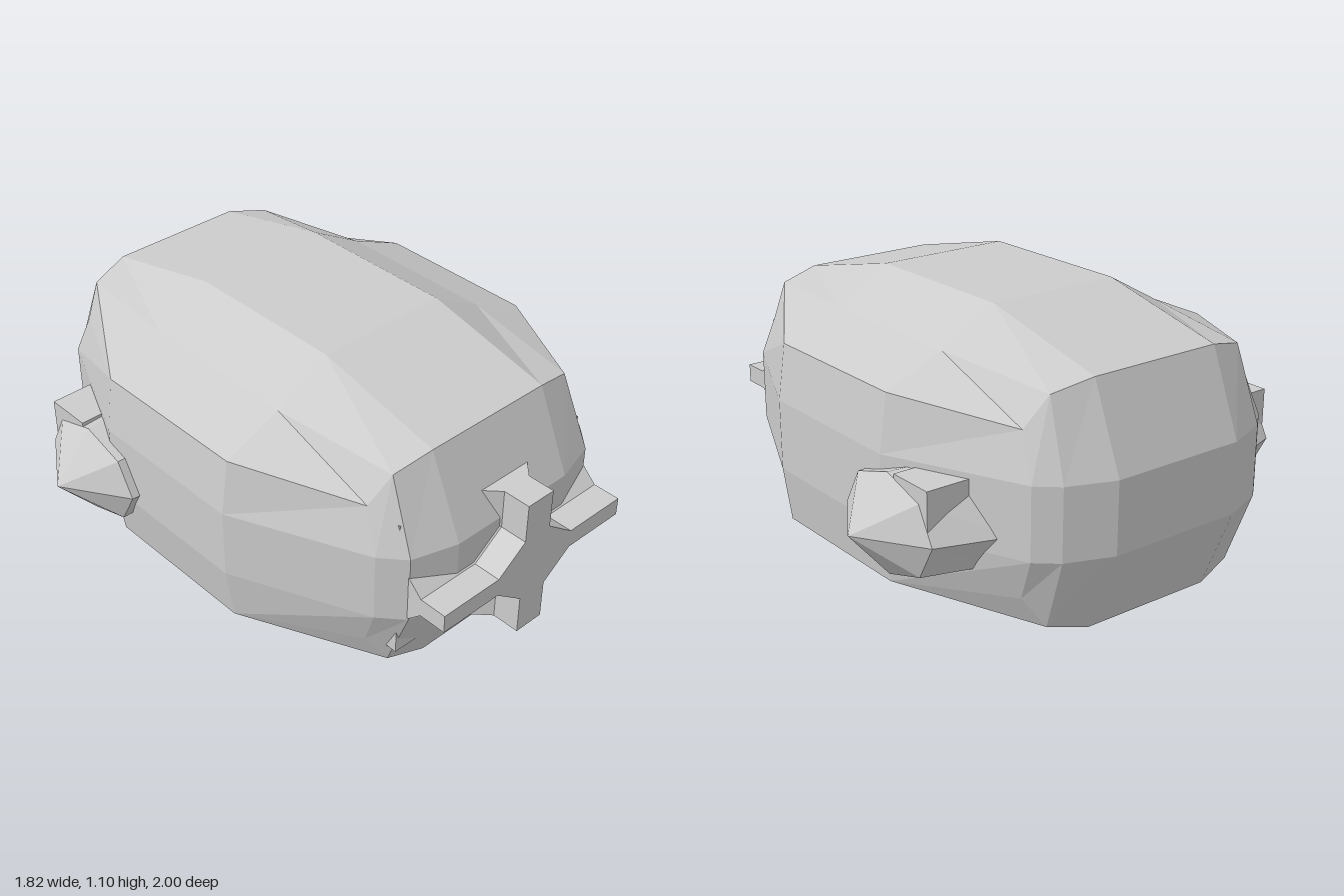
import * as THREE from 'three';

const grey = new THREE.MeshStandardMaterial({ color: 0xcccccc });
grey.name = 'plain grey';
grey.flatShading = true;

// Collects quads (corners counter-clockwise from outside) into a faceted geometry
function quadGeometry(quads) {
  const pos = quads.flatMap(([a, b, c, d]) => [a, b, c, a, c, d].flat());
  const g = new THREE.BufferGeometry();
  g.setAttribute('position', new THREE.Float32BufferAttribute(pos, 3));
  g.computeVertexNormals();
  return g;
}

// Walls between successive closed rings
function walls(rings) {
  const quads = [];
  for (let r = 0; r < rings.length - 1; r++) {
    const a = rings[r], b = rings[r + 1], n = a.length;
    for (let i = 0; i < n; i++) {
      const j = (i + 1) % n;
      quads.push([a[i], a[j], b[j], b[i]]);
    }
  }
  return quads;
}

const mirrorX = ([x, y, z]) => [-x, y, z];
const flipY = ([x, y, z]) => [x, 1.1 - y, z];
const fullRing = (half) => [...half, ...half.map(mirrorX).reverse()];

function mesh(name, geometry) {
  const m = new THREE.Mesh(geometry, grey);
  m.name = name;
  return m;
}

function bodyGeometry() {
  // left half of the rim and of the waist, running front to back
  const rim = [
    [0.26, 0.985, 0.755], [0.41, 0.95, 0.73], [0.48, 0.84, 0.69], [0.695, 0.885, 0.26],
    [0.695, 0.885, -0.37], [0.485, 0.84, -0.8], [0.41, 0.95, -0.84], [0.26, 0.985, -0.875],
  ];
  const waist = [
    [0.26, 0.89], [0.43, 0.84], [0.505, 0.755], [0.725, 0.26],
    [0.725, -0.37], [0.505, -0.87], [0.43, -0.935], [0.26, -1],
  ].map(([x, z]) => [x, 0.68, z]);
  const rings = [rim.map(flipY), waist.map(flipY), waist, rim].map(fullRing);
  const quads = walls(rings);

  // domed top, copied upside down for the belly
  const rows = [
    [rim[0], rim[1], rim[2]],
    [[0.26, 1.1, 0.26], [0.475, 0.98, 0.26], rim[3]],
    [[0.26, 1.1, -0.37], [0.475, 0.98, -0.37], rim[4]],
    [rim[7], rim[6], rim[5]],
  ].map((h) => [...h.map(mirrorX).reverse(), ...h]);
  for (let r = 0; r < 3; r++) {
    for (let c = 0; c < 5; c++) {
      const q = [rows[r][c], rows[r][c + 1], rows[r + 1][c + 1], rows[r + 1][c]];
      quads.push(q, q.map(flipY).reverse());
    }
  }
  return quadGeometry(quads);
}

// Plus-shaped grip with chamfered inner corners, flaring into the body
function crossGeometry() {
  const quarter = [[0.06, 0.275], [0.06, 0.125], [0.18, 0.035], [0.433, 0.035]];
  const right = [...quarter, ...quarter.map(([x, y]) => [x, -y]).reverse()];
  const outline = [...right, ...right.map(([x, y]) => [-x, y]).reverse()];
  const shape = new THREE.Shape(outline.map(([x, y]) => new THREE.Vector2(x, y)));
  const g = new THREE.ExtrudeGeometry(shape, { depth: 0.21, steps: 2, bevelEnabled: false });
  const p = g.attributes.position;
  for (let i = 0; i < p.count; i++) {
    if (p.getZ(i) > 0.01) continue;
    const x = p.getX(i), y = p.getY(i);
    const sx = Math.sign(x), sy = Math.sign(y);
    if (Math.abs(x) < 0.1) {
      p.setX(i, x + 0.1 * sx);
      if (Math.abs(y) < 0.2) p.setY(i, y + 0.06 * sy);
    } else {
      p.setY(i, y + 0.1 * sy);
      if (Math.abs(x) < 0.3) p.setX(i, x + 0.06 * sx);
    }
  }
  g.translate(0, 0.515, 0.79);
  g.computeVertexNormals();
  return g;
}

// Eight-sided pointed stud on one flank
function studGeometry(side) {
  const ring = (x, ry, rz, cz) => Array.from({ length: 8 }, (_, i) => {
    const a = (i * Math.PI) / 4;
    return [side * x, 0.475 + ry * Math.cos(a), cz + side * rz * Math.sin(a)];
  });
  return quadGeometry(walls([
    ring(0.5, 0.185, 0.29, -0.49),
    ring(0.755, 0.18, 0.24, -0.455),
    ring(0.91, 0, 0, -0.455),
  ]));
}

export function createModel() {
  const model = new THREE.Group();
  model.name = 'model';
  model.add(mesh('body', bodyGeometry()));

  const plate = mesh('gripBase', new THREE.BoxGeometry(0.866, 0.55, 0.2));
  plate.position.set(0, 0.515, 0.69);
  model.add(plate, mesh('crossGrip', crossGeometry()));

  for (const side of [1, -1]) {
    const group = new THREE.Group();
    group.name = side > 0 ? 'leftStud' : 'rightStud';
    const block = mesh('studBlock', new THREE.BoxGeometry(0.255, 0.18, 0.18));
    block.position.set(side * 0.6275, 0.57, -0.58);
    group.add(mesh('studPoint', studGeometry(side)), block);
    model.add(group);
  }
  return model;
}
